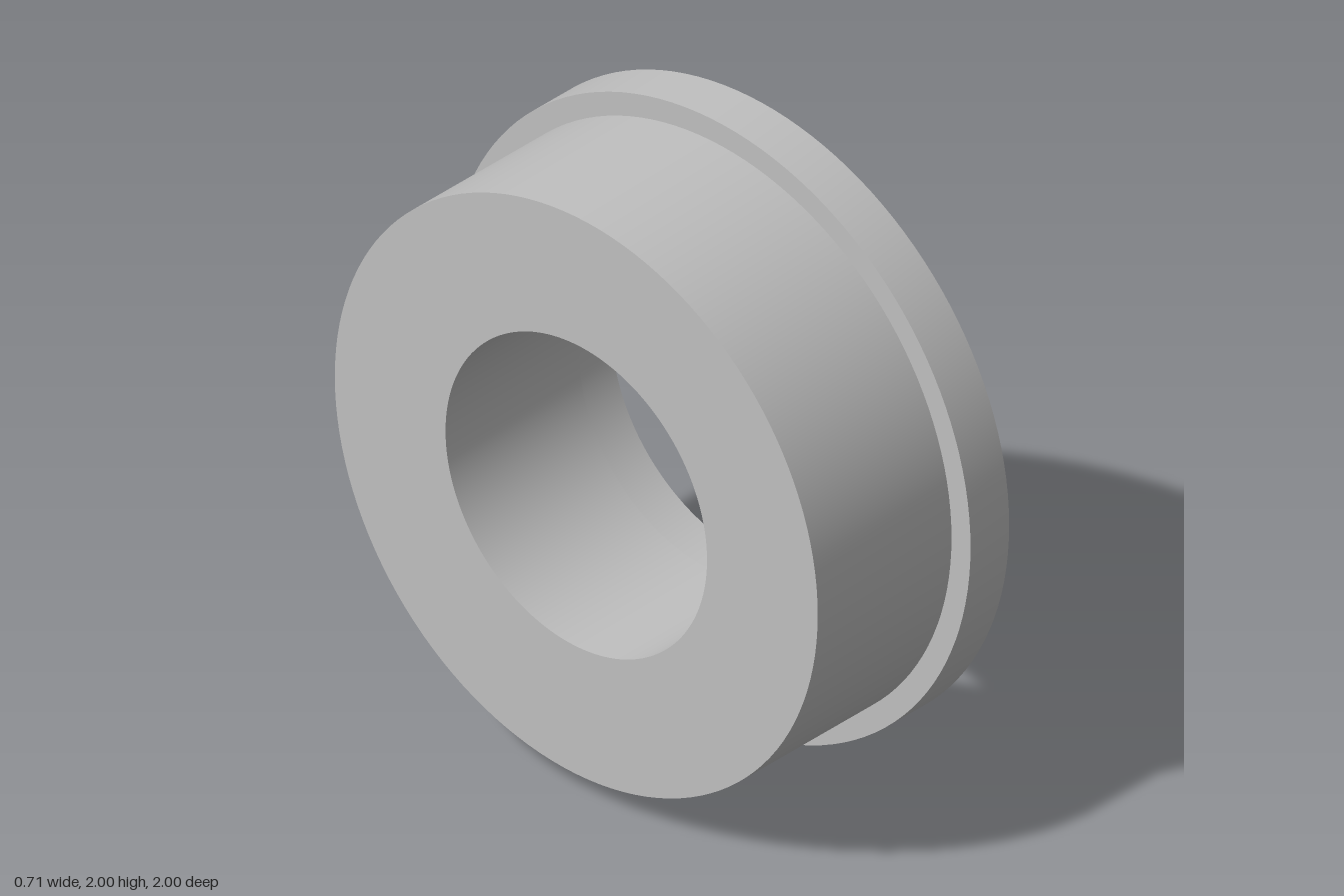
import * as THREE from 'three';
import { toCreasedNormals } from 'three/addons/utils/BufferGeometryUtils.js';

const BACK = -0.357, STEP = 0.197, FRONT = 0.357; // positions along the x axis
const BORE = 0.502, COUNTERBORE = 0.527, BODY = 0.927, RIM = 1;

export function createModel() {
  const group = new THREE.Group();
  group.name = 'flangedBushing';
  const steel = new THREE.MeshStandardMaterial({ color: 0xc0c0c0 });
  steel.name = 'grey steel';

  // Revolve a [radius, x] profile around the horizontal x axis
  const addRing = (name, profile) => {
    const lathe = new THREE.LatheGeometry(profile.map(([r, x]) => new THREE.Vector2(r, x)), 128);
    const geometry = toCreasedNormals(lathe, Math.PI / 6);
    geometry.rotateZ(-Math.PI / 2);
    const mesh = new THREE.Mesh(geometry, steel);
    mesh.name = name;
    mesh.position.y = RIM;
    group.add(mesh);
  };

  // Sleeve: inner shoulder, bore, back face and outer wall
  addRing('sleeve', [[COUNTERBORE, STEP], [BORE, STEP], [BORE, BACK], [BODY, BACK], [BODY, STEP]]);
  // Flange: back lip, rim, front face and counterbore wall
  addRing('flange', [[BODY, STEP], [RIM, STEP], [RIM, FRONT], [COUNTERBORE, FRONT], [COUNTERBORE, STEP]]);

  return group;
}
